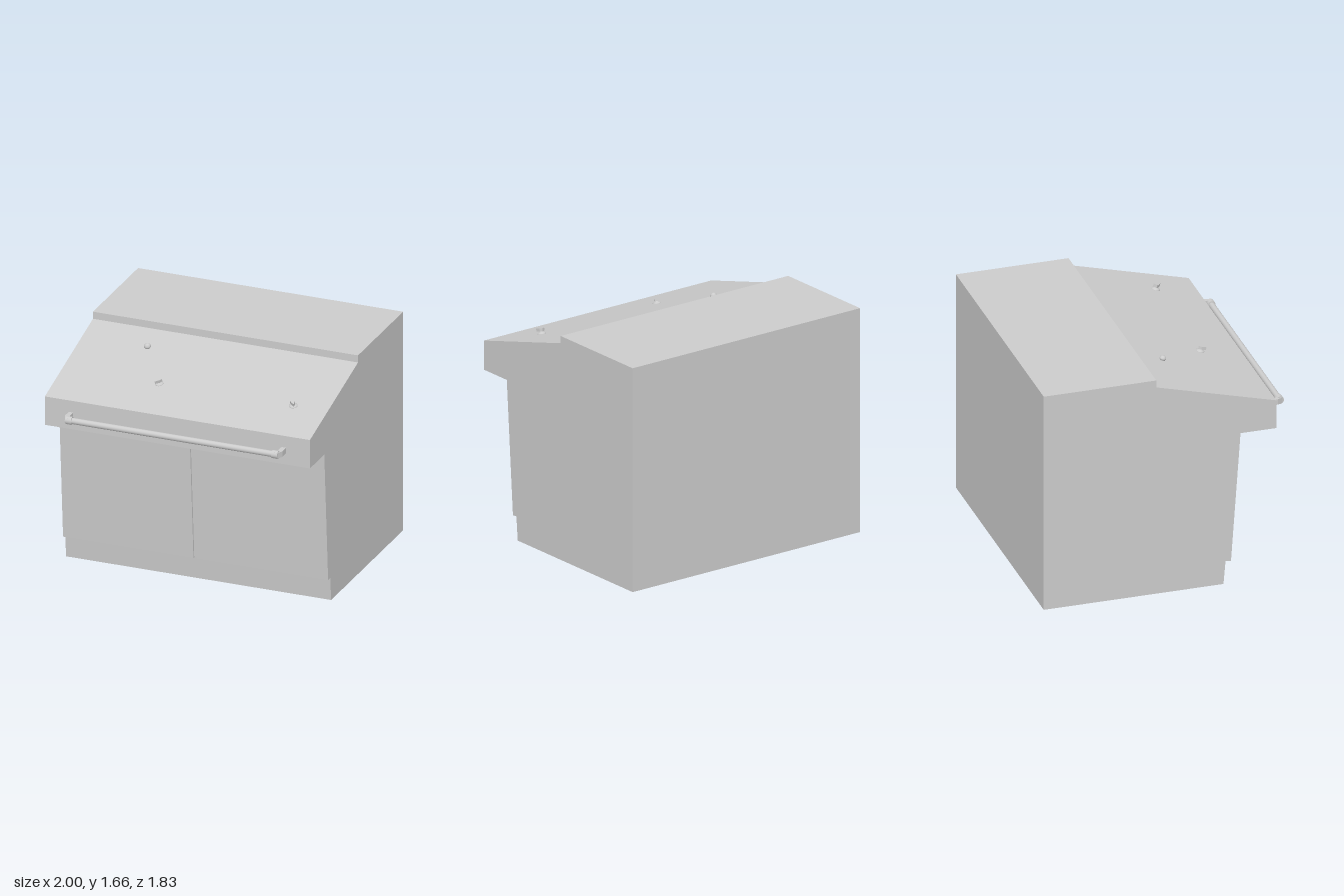
import * as THREE from 'three';

const mat = new THREE.MeshStandardMaterial({ color: 0xcccccc });
const sheetMat = new THREE.MeshStandardMaterial({ color: 0xcccccc, side: THREE.DoubleSide });

function add(parent, name, geometry, material = mat) {
  const mesh = new THREE.Mesh(geometry, material);
  mesh.name = name;
  parent.add(mesh);
  return mesh;
}

// Sheet swept along x through a list of [z, y] points
function strip(points, x0, x1) {
  const pos = [];
  for (let i = 0; i < points.length - 1; i++) {
    const [az, ay] = points[i], [bz, by] = points[i + 1];
    pos.push(x0, ay, az, x1, ay, az, x1, by, bz, x0, ay, az, x1, by, bz, x0, by, bz);
  }
  const g = new THREE.BufferGeometry();
  g.setAttribute('position', new THREE.Float32BufferAttribute(pos, 3));
  g.computeVertexNormals();
  return g;
}

// Flat plate in the z-y plane at a given x
function plate(points, x) {
  const shape = new THREE.Shape(points.map(([z, y]) => new THREE.Vector2(z, y)));
  return new THREE.ShapeGeometry(shape).rotateY(-Math.PI / 2).translate(x, 0, 0);
}

// Side outline, from the front foot up and over to the back foot, as [z, y]
const foot = [[0.405, 0], [0.42, 0.175]];
const door = [[0.46, 0.172], [0.53, 1.157]];
const hood = [[0.793, 1.157], [0.793, 1.373], [-0.087, 1.609], [-0.087, 1.663], [-0.912, 1.663], [-0.912, 0]];
const slope = Math.atan2(1.609 - 1.373, 0.88);

function createBody() {
  const body = new THREE.Group();
  body.name = 'cabinet';
  add(body, 'kickPlate', strip(foot, -1, 1), sheetMat);
  add(body, 'hoodTopAndBack', strip([door[1], ...hood], -1, 1), sheetMat);
  for (const x of [-1, 1]) add(body, x < 0 ? 'rightSide' : 'leftSide', plate([...foot, ...door, ...hood], x), sheetMat);

  // Doors with a shallow groove between them
  const gx0 = -0.016, gx1 = 0.012;
  const inner = door.map(([z, y]) => [z - 0.015, y]);
  add(body, 'rightDoor', strip([foot[1], ...door], -1, gx0), sheetMat);
  add(body, 'leftDoor', strip([foot[1], ...door], gx1, 1), sheetMat);
  add(body, 'doorGroove', strip([foot[1], ...inner, door[1]], gx0, gx1), sheetMat);
  for (const x of [gx0, gx1]) add(body, 'grooveWall', plate([...door, ...[...inner].reverse()], x), sheetMat);
  return body;
}

function createHandle() {
  const handle = new THREE.Group();
  handle.name = 'frontHandle';
  handle.position.y = 1.264;
  const z = 0.884;
  add(handle, 'handleBar', new THREE.CylinderGeometry(0.022, 0.022, 1.54, 24).rotateZ(Math.PI / 2).translate(0, 0, z));
  for (const s of [-1, 1]) {
    // Angled arm in plan, bevelled at the outer front corner
    const plan = [[0.82, 0.785], [0.82, 0.862], [0.8, 0.905], [0.775, 0.905], [0.775, 0.868], [0.786, 0.858], [0.786, 0.785]];
    const arm = new THREE.Shape(plan.map(([x, pz]) => new THREE.Vector2(s * x, -pz)));
    add(handle, 'handleArm', new THREE.ExtrudeGeometry(arm, { depth: 0.042, bevelEnabled: false })
      .rotateX(-Math.PI / 2).translate(0, -0.021, 0));
    add(handle, 'handleCollar', new THREE.CylinderGeometry(0.029, 0.029, 0.046, 24)
      .rotateZ(Math.PI / 2).translate(s * 0.778, 0, z));
  }
  return handle;
}

// Group standing on the sloping panel at x, z with its own y along the panel normal
function onSlope(name, x, z) {
  const g = new THREE.Group();
  g.name = name;
  g.position.set(x, 1.373 + (0.793 - z) * Math.tan(slope), z);
  g.rotation.x = slope;
  return g;
}

function lathe(points) {
  return new THREE.LatheGeometry(points.map(([r, y]) => new THREE.Vector2(r, y)), 24);
}

function createKnob(x, turn) {
  const knob = onSlope('controlKnob', x, 0.468);
  add(knob, 'knobBase', lathe([[0.03, 0], [0.03, 0.005], [0.021, 0.01], [0.012, 0.014], [0.01, 0.022], [0, 0.022]]));
  // Wedge grip narrowing to a pointer
  const wedge = new THREE.Shape([[-0.017, 0.018], [-0.015, -0.005], [0, -0.037], [0.015, -0.005], [0.017, 0.018]]
    .map(([a, b]) => new THREE.Vector2(a, b)));
  const grip = add(knob, 'knobGrip', new THREE.ExtrudeGeometry(wedge, { depth: 0.022, bevelEnabled: false })
    .rotateX(-Math.PI / 2).translate(0, 0.018, 0));
  grip.rotation.y = turn;
  return knob;
}

export function createModel() {
  const model = new THREE.Group();
  model.name = 'cabinetWithSlopingHood';
  model.add(createBody(), createHandle(), createKnob(-0.272, -0.45), createKnob(0.74, 0.55));

  // Small round button
  const button = onSlope('roundButton', -0.503, 0.117);
  add(button, 'buttonDome', lathe([[0.018, 0], [0.018, 0.006], [0.024, 0.01], [0.024, 0.016],
    [0.021, 0.024], [0.015, 0.031], [0.008, 0.034], [0, 0.035]]));
  model.add(button);
  return model;
}
